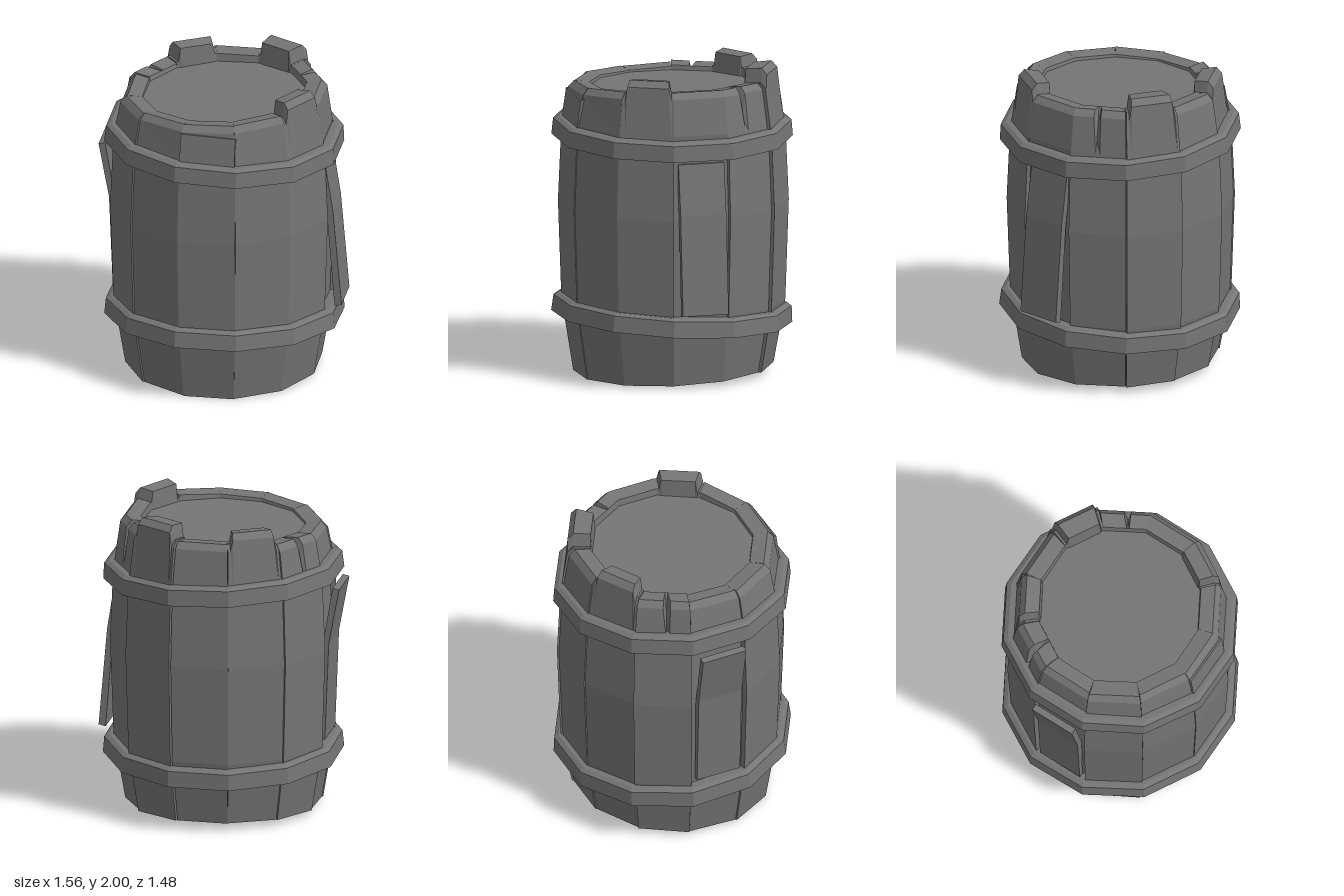
import * as THREE from 'three';

const SIDES = 12;
const HALF = Math.tan(Math.PI / SIDES); // half width of a side per unit of apothem

export function createModel() {
  const group = new THREE.Group();
  const grey = new THREE.MeshStandardMaterial({ color: 0x757575 });
  grey.name = 'weathered grey';

  const add = (name, geometry, parent = group) => {
    const mesh = new THREE.Mesh(geometry, grey);
    mesh.name = name;
    parent.add(mesh);
    return mesh;
  };

  // Solid made of equal closed outlines, with optional end caps
  const loft = (rings, capped) => {
    const pos = [];
    const n = rings[0].length;
    const tri = (...pts) => pts.forEach(p => pos.push(...p));
    for (let i = 0; i + 1 < rings.length; i++) {
      for (let j = 0; j < n; j++) {
        const k = (j + 1) % n;
        const a = rings[i][j], b = rings[i][k], c = rings[i + 1][k], d = rings[i + 1][j];
        tri(a, b, c);
        tri(a, c, d);
      }
    }
    if (capped) {
      const s = rings[0], e = rings[rings.length - 1];
      for (let j = 0; j < n - 2; j++) {
        tri(s[n - 1], s[j + 1], s[j]);
        tri(e[n - 1], e[j], e[j + 1]);
      }
    }
    const g = new THREE.BufferGeometry();
    g.setAttribute('position', new THREE.Float32BufferAttribute(pos, 3));
    g.computeVertexNormals();
    return g;
  };

  // Stave columns: [across -1..1, top height, depth of a crack in the outer rim]
  const flat = (a, b) => [[-1, a], [1, b]];
  const block = (base, h, end = base) => [[-1, base], [-0.9, base], [-0.8, h], [0.8, h], [0.9, end], [1, end]];
  const cracked = (h, u) => [[-1, h], [u - 0.15, h], [u, h, 0.16], [u + 0.12, h], [1, h]];
  const staves = [
    { cols: flat(1.91, 1.91), dent: 0.025 },
    { cols: block(1.91, 1.98, 1.89) },
    { cols: flat(1.9, 1.88) },
    { cols: flat(1.88, 1.87), out: 0.005 },
    { cols: flat(1.87, 1.86) },
    { cols: flat(1.86, 1.85), out: 0.01 },
    { cols: flat(1.85, 1.86), dent: 0.025 },
    { cols: cracked(1.87, -0.1), out: 0.01 },
    { cols: block(1.88, 1.97, 1.9) },
    { cols: flat(1.9, 1.9), out: 0.008 },
    { cols: block(1.91, 2.0), out: 0.02 },
    { cols: cracked(1.91, 0.1) },
  ];
  const staveGroup = new THREE.Group();
  staveGroup.name = 'staves';
  group.add(staveGroup);
  staves.forEach(({ cols, out = 0, dent = 0 }, i) => {
    const angle = (i / SIDES) * Math.PI * 2;
    const c = Math.cos(angle), s = Math.sin(angle);
    const rings = cols.map(([u, top, crack = 0]) => {
      const profile = [
        [0.6, 0], [0.655, 0.36], [0.672 - dent, 0.46], [0.693 - dent, 1.1], [0.675 - dent, 1.52],
        [0.662, 1.64], [0.63, top - 0.04 - crack], [0.595, top - crack * 0.6],
        [0.505, top - 0.012], [0.49, 1.78], [0.53, 0],
      ];
      return profile.map(([r, y], j) => {
        const rr = r + (j < 8 ? out : 0);
        const w = u * r * HALF;
        const x = rr * c - w * s, z = rr * s + w * c;
        return [x, y === 0 ? Math.max(0, 0.025 - 0.04 * z) : y, z];
      });
    });
    add('stave' + (i + 1), loft(rings, true), staveGroup);
  });

  // Broken stub on the front rim
  const stub = add('frontRimStub', new THREE.BoxGeometry(0.35, 0.25, 0.06));
  stub.position.set(0, 1.69, 0.637);
  stub.rotation.set(-0.13, 0, -0.04);

  // Lid and bottom boards set inside the staves
  const disc = (name, apothem, height, y) => {
    const r = apothem / Math.cos(Math.PI / SIDES);
    const g = new THREE.CylinderGeometry(r, r, height, SIDES).toNonIndexed();
    g.rotateY(Math.PI / SIDES);
    g.computeVertexNormals();
    const mesh = add(name, g);
    mesh.position.y = y;
    return mesh;
  };
  disc('lid', 0.52, 0.06, 1.81).rotation.z = 0.025;
  disc('bottomBoard', 0.56, 0.05, 0.1).rotation.x = 0.04;

  // Tilted hoops with a bevelled upper edge
  const hoop = (name, y, tiltX, tiltZ) => {
    const profile = [[0.64, -0.058], [0.737, -0.058], [0.728, 0.045], [0.7, 0.062], [0.64, 0.062]];
    const rings = [];
    for (let i = 0; i <= SIDES; i++) {
      const a = ((i + 0.5) / SIDES) * Math.PI * 2;
      rings.push(profile.map(([r, h]) => {
        const R = r / Math.cos(Math.PI / SIDES);
        return [R * Math.cos(a), h, R * Math.sin(a)];
      }));
    }
    const mesh = add(name, loft(rings, false));
    mesh.position.y = y;
    mesh.rotation.set(tiltX, 0, tiltZ);
  };
  hoop('upperHoop', 1.575, 0, -0.04);
  hoop('lowerHoop', 0.405, -0.055, 0);

  // Loose bent planks at both sides
  const plank = (name, pts) => {
    const shape = new THREE.Shape(pts.map(p => new THREE.Vector2(...p)));
    const g = new THREE.ExtrudeGeometry(shape, { depth: 0.3, bevelEnabled: false });
    g.translate(0, 0, -0.15);
    add(name, g);
  };
  plank('leftPlank', [[0.73, 0.49], [0.775, 0.5], [0.72, 1.14], [0.67, 1.46], [0.635, 1.46], [0.68, 1.13]]);
  plank('rightPlank', [[-0.66, 0.5], [-0.67, 1.12], [-0.695, 1.24], [-0.74, 1.51], [-0.782, 1.5], [-0.715, 1.14], [-0.69, 0.5]]);

  return group;
}
